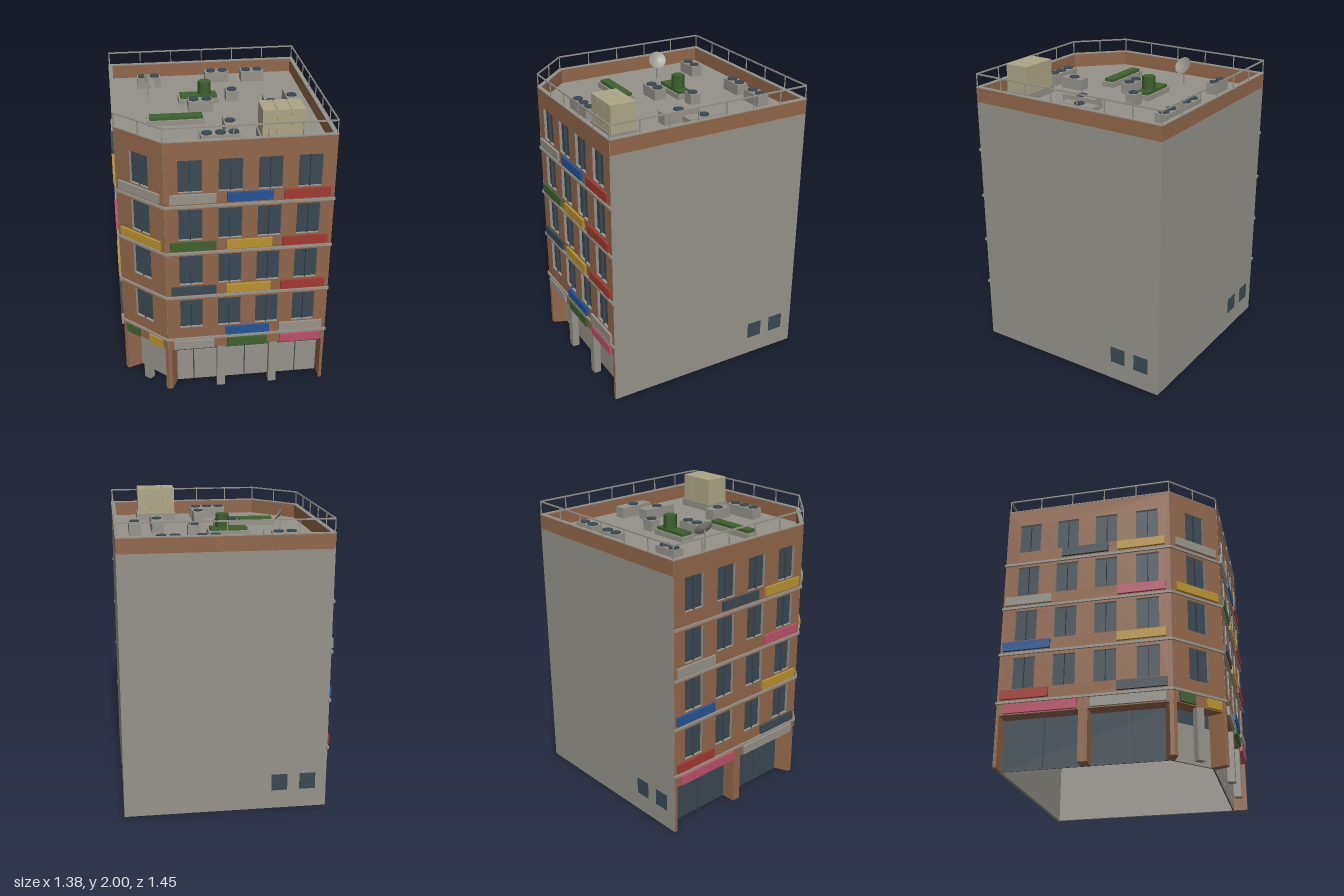
import * as THREE from 'three';

const mat = (name, color, side = THREE.FrontSide) => {
  const m = new THREE.MeshStandardMaterial({ color, side });
  m.name = name;
  return m;
};

export function createModel() {
  const brick = mat('brick', 0x91664a);
  const grey = mat('concrete', 0x95928a, THREE.DoubleSide);
  const glass = mat('darkGlass', 0x3a4852);
  const red = mat('red', 0xa33832);
  const blue = mat('blue', 0x235496);
  const yellow = mat('yellow', 0xb8922f);
  const green = mat('green', 0x3f6130);
  const pink = mat('pink', 0xbc5068);
  const cream = mat('cream', 0xaea588);

  const model = new THREE.Group();
  model.name = 'cornerBuilding';

  const add = (parent, name, geo, material) => {
    const mesh = new THREE.Mesh(geo, material);
    mesh.name = name;
    parent.add(mesh);
    return mesh;
  };
  // Box given by its extents on each axis
  const box = (parent, name, material, x0, x1, y0, y1, z0, z1) => {
    const m = add(parent, name, new THREE.BoxGeometry(x1 - x0, y1 - y0, z1 - z0), material);
    m.position.set((x0 + x1) / 2, (y0 + y1) / 2, (z0 + z1) / 2);
    return m;
  };

  // Floor plan with one cut corner, inset by d, as [x, z]
  const T = Math.tan(Math.PI / 8);
  const outline = (d) => [
    [-0.675 + d, -0.715 + d], [-0.675 + d, 0.425 - d * T], [-0.39 + d * T, 0.71 - d],
    [0.683 - d, 0.71 - d], [0.683 - d, -0.715 + d],
  ];
  const toShape = (pts) => new THREE.Shape(pts.map(([x, z]) => new THREE.Vector2(x, -z)));
  // Flat plan shape raised from y0 to y1
  const slab = (parent, name, material, pts, y0, y1, hole) => {
    const s = toShape(pts);
    if (hole) s.holes.push(toShape(hole));
    const geo = new THREE.ExtrudeGeometry(s, { depth: y1 - y0, bevelEnabled: false });
    geo.rotateX(-Math.PI / 2);
    const m = add(parent, name, geo, material);
    m.position.y = y0;
    return m;
  };
  // Group whose x runs from p to q and whose z points outward
  const edge = (name, p, q) => {
    const g = new THREE.Group();
    g.name = name;
    g.position.set(p[0], 0, p[1]);
    g.rotation.y = Math.atan2(-(q[1] - p[1]), q[0] - p[0]);
    model.add(g);
    return { g, L: Math.hypot(q[0] - p[0], q[1] - p[1]) };
  };

  const [A, B, C, D, E] = outline(0);
  const FLOOR = 0.34, ROOF = 1.77, TOP = 1.87;
  const windowY = [0.514, 0.854, 1.189, 1.527];
  const corniceY = [0.415, 0.752, 1.087, 1.423];
  const signY = [0.442, 0.781, 1.116, 1.455];

  // Brick facade with window holes, panes, fins and string courses
  const facade = (name, p, q, centres) => {
    const { g, L } = edge(name, p, q);
    const s = new THREE.Shape();
    s.moveTo(0.001, FLOOR); s.lineTo(L - 0.001, FLOOR);
    s.lineTo(L - 0.001, TOP); s.lineTo(0.001, TOP); s.closePath();
    for (const u of centres) for (const y of windowY) {
      const h = new THREE.Path();
      h.moveTo(u - 0.075, y); h.lineTo(u - 0.075, y + 0.218);
      h.lineTo(u + 0.075, y + 0.218); h.lineTo(u + 0.075, y); h.closePath();
      s.holes.push(h);
      box(g, 'windowPane', glass, u - 0.078, u + 0.078, y - 0.003, y + 0.221, -0.024, -0.019);
      box(g, 'windowFin', glass, u - 0.002, u + 0.002, y, y + 0.218, -0.019, -0.001);
    }
    const geo = new THREE.ExtrudeGeometry(s, { depth: 0.02, bevelEnabled: false });
    geo.translate(0, 0, -0.02);
    add(g, 'brickWall', geo, [brick, grey]);
    for (const y of corniceY) box(g, 'stringCourse', grey, -0.005, L + 0.005, y, y + 0.016, -0.005, 0.011);
    return g;
  };
  const left = facade('sideFacade', A, B, [0.165, 0.435, 0.705, 0.985]);
  const corner = facade('cornerFacade', B, C, [0.2015]);
  const front = facade('frontFacade', C, D, [0.162, 0.414, 0.663, 0.912]);

  // Shop signs: [colour, floor row (-1 is the shop front), centre, length]
  const signs = (g, list) => {
    for (const [m, row, u, len] of list) {
      const y = row < 0 ? 0.346 : signY[row];
      box(g, 'sign', m, u - len / 2, u + len / 2, y, y + 0.062, 0, 0.016);
    }
  };
  const f = [0.178, 0.537, 0.897];
  signs(front, [
    [grey, 3, f[0], 0.293], [blue, 3, f[1], 0.293], [red, 3, f[2], 0.293],
    [green, 2, f[0], 0.293], [yellow, 2, f[1], 0.293], [red, 2, f[2], 0.293],
    [glass, 1, f[0], 0.293], [yellow, 1, f[1], 0.293], [red, 1, f[2], 0.293],
    [blue, 0, f[1], 0.293], [grey, 0, f[2], 0.293],
    [grey, -1, f[0], 0.272], [green, -1, f[1], 0.272], [pink, -1, f[2], 0.272],
  ]);
  signs(corner, [
    [grey, 3, 0.2015, 0.335], [yellow, 2, 0.2015, 0.335],
    [green, -1, 0.1, 0.115], [yellow, -1, 0.303, 0.115],
  ]);
  const l = [0.18, 0.56, 0.945];
  signs(left, [
    [yellow, 3, l[2], 0.32], [glass, 3, l[1], 0.32],
    [pink, 2, l[2], 0.32], [grey, 2, l[0], 0.32],
    [yellow, 1, l[2], 0.32], [blue, 1, l[0], 0.32],
    [glass, 0, l[2], 0.32], [red, 0, l[0], 0.32],
    [pink, -1, 0.29, 0.48], [grey, -1, 0.86, 0.48],
  ]);

  // Plain party walls with brick parapet and small windows
  const partyWall = (name, p, q, u0, trim, centres) => {
    const { g, L } = edge(name, p, q);
    box(g, 'plainWall', grey, u0, L - trim, 0, ROOF, -0.02, 0);
    box(g, 'parapet', brick, u0, L - trim, ROOF, TOP, -0.02, 0);
    for (const u of centres) box(g, 'smallWindow', glass, u - 0.054, u + 0.054, 0.132, 0.247, 0, 0.003);
  };
  partyWall('rightWall', D, E, 0.002, 0, [1.11, 1.29]);
  partyWall('backWall', E, A, 0, 0.002, [1.038, 1.228]);

  // Recessed shop fronts
  const R = 0.1;
  const inner = outline(R);
  const [, B2, C2] = inner;
  const A2 = [inner[0][0], -0.695], D2 = [0.663, inner[3][1]];
  slab(model, 'shopSoffit', brick, [A, B, C, D, D2, C2, B2, A2], FLOOR, FLOOR + 0.004);
  const shop = (name, p, q, cuts) => {
    const { g, L } = edge(name, p, q);
    box(g, 'shopGlass', glass, 0, L, 0, FLOOR, -0.006, 0);
    for (let i = 0; i + 1 < cuts.length; i++)
      box(g, 'shopPanel', grey, cuts[i] + 0.004, cuts[i + 1] - 0.004, 0, 0.25, 0, 0.006);
    return g;
  };
  shop('frontShop', C2, D2, [0.02, 0.139, 0.496, 0.855, 1.008]);
  shop('cornerShop', B2, C2, [0.01, 0.31]);
  const sideShop = shop('sideShop', A2, B2, []);
  for (const u of [0.27, 0.82]) box(sideShop, 'mullion', glass, u - 0.004, u + 0.004, 0, FLOOR, 0, 0.008);

  // Pillars and piers
  for (const u of [0.361, 0.72]) box(front, 'pillar', grey, u - 0.027, u + 0.027, 0, FLOOR, -0.05, -0.001);
  box(corner, 'pillar', grey, 0.175, 0.228, 0, FLOOR, -0.046, -0.001);
  box(left, 'pier', brick, 0.54, 0.6, 0, FLOOR, -R, -0.001);
  box(left, 'endPier', brick, 0.002, 0.022, 0, FLOOR, -R, 0);
  box(front, 'endPier', brick, 1.052, 1.0715, 0, FLOOR, -R, 0.001);
  const k = Math.SQRT1_2;
  const step = (p, d, s) => [p[0] + d[0] * s, p[1] + d[1] * s];
  const cornerPier = (o, i, back, fwd) => slab(model, 'cornerPier', brick,
    [step(o, back, 0.025), o, step(o, fwd, 0.025), step(i, fwd, 0.028), i, step(i, back, 0.028)], 0, FLOOR);
  cornerPier(B, B2, [0, -1], [k, k]);
  cornerPier(C, C2, [-k, -k], [1, 0]);

  // Roof, coping and railing
  slab(model, 'roof', grey, outline(0.012), ROOF - 0.02, ROOF);
  slab(model, 'coping', grey, outline(-0.002), TOP - 0.004, TOP + 0.002, outline(0.026));
  const rail = outline(0.006);
  rail.forEach((p, i) => {
    const { g, L } = edge('railing', p, rail[(i + 1) % 5]);
    box(g, 'handrail', grey, 0, L, 1.953, 1.962, -0.004, 0.004);
    const n = Math.round(L / 0.21);
    for (let j = 0; j < n; j++) {
      const u = (j * L) / n;
      box(g, 'railPost', grey, u - 0.003, u + 0.003, TOP, 1.955, -0.003, 0.003);
    }
  });

  // Air conditioners: [x0, x1, z0, z1, fan z, fan xs]
  const units = [
    [-0.48, -0.315, -0.54, -0.46, -0.5, [-0.44, -0.355]],
    [0.01, 0.18, -0.6, -0.52, -0.56, [0.055, 0.14]],
    [0.27, 0.435, -0.595, -0.51, -0.553, [0.31, 0.395]],
    [0.11, 0.195, -0.215, -0.14, -0.175, [0.153]],
    [-0.165, 0, -0.06, 0.025, -0.018, [-0.125, -0.04]],
    [0.345, 0.425, -0.06, 0.195, 0.07, [0.385]],
    [0.5, 0.58, -0.145, 0.105, -0.02, [0.54]],
    [0.025, 0.105, 0.28, 0.445, 0.365, [0.065]],
    [-0.145, 0.105, 0.5, 0.585, 0.545, [-0.105, -0.02, 0.065]],
  ];
  for (const [x0, x1, z0, z1, fz, xs] of units) {
    box(model, 'airConditioner', grey, x0, x1, ROOF, 1.845, z0, z1);
    for (const x of xs)
      add(model, 'fan', new THREE.CylinderGeometry(0.034, 0.034, 0.008, 10), glass).position.set(x, 1.849, fz);
  }

  // Planters and clipped bush
  const planter = (x0, x1, z0, z1) => {
    box(model, 'planter', grey, x0, x1, ROOF, 1.805, z0, z1);
    box(model, 'hedge', green, x0 + 0.014, x1 - 0.014, 1.805, 1.825, z0 + 0.012, z1 - 0.012);
  };
  planter(-0.215, 0.06, -0.23, -0.122);
  planter(-0.45, -0.077, 0.14, 0.23);
  const bush = add(model, 'bush', new THREE.CylinderGeometry(0.045, 0.045, 0.095, 6), green);
  bush.position.set(-0.036, 1.868, -0.175);
  bush.rotation.y = Math.PI / 6;

  // Water tank in three sections
  box(model, 'tankBase', grey, 0.223, 0.503, ROOF, 1.82, 0.425, 0.61);
  for (let i = 0; i < 3; i++) {
    const x = 0.232 + i * 0.0883;
    box(model, 'tankSection', cream, x, x + 0.0855, 1.82, 2, 0.433, 0.604);
  }
  box(model, 'tankCore', cream, 0.235, 0.49, 1.82, 1.994, 0.437, 0.6);

  // Satellite dish on a pole
  const dish = add(model, 'dish', new THREE.LatheGeometry(
    [[0, 0], [0.03, 0.004], [0.062, 0.016]].map(([x, y]) => new THREE.Vector2(x, y)), 16), grey);
  dish.position.set(-0.418, 1.902, -0.225);
  dish.quaternion.setFromUnitVectors(new THREE.Vector3(0, 1, 0), new THREE.Vector3(0.79, 0.58, 0.18).normalize());
  box(model, 'dishPole', grey, -0.424, -0.416, ROOF, 1.9, -0.229, -0.221);

  return model;
}
